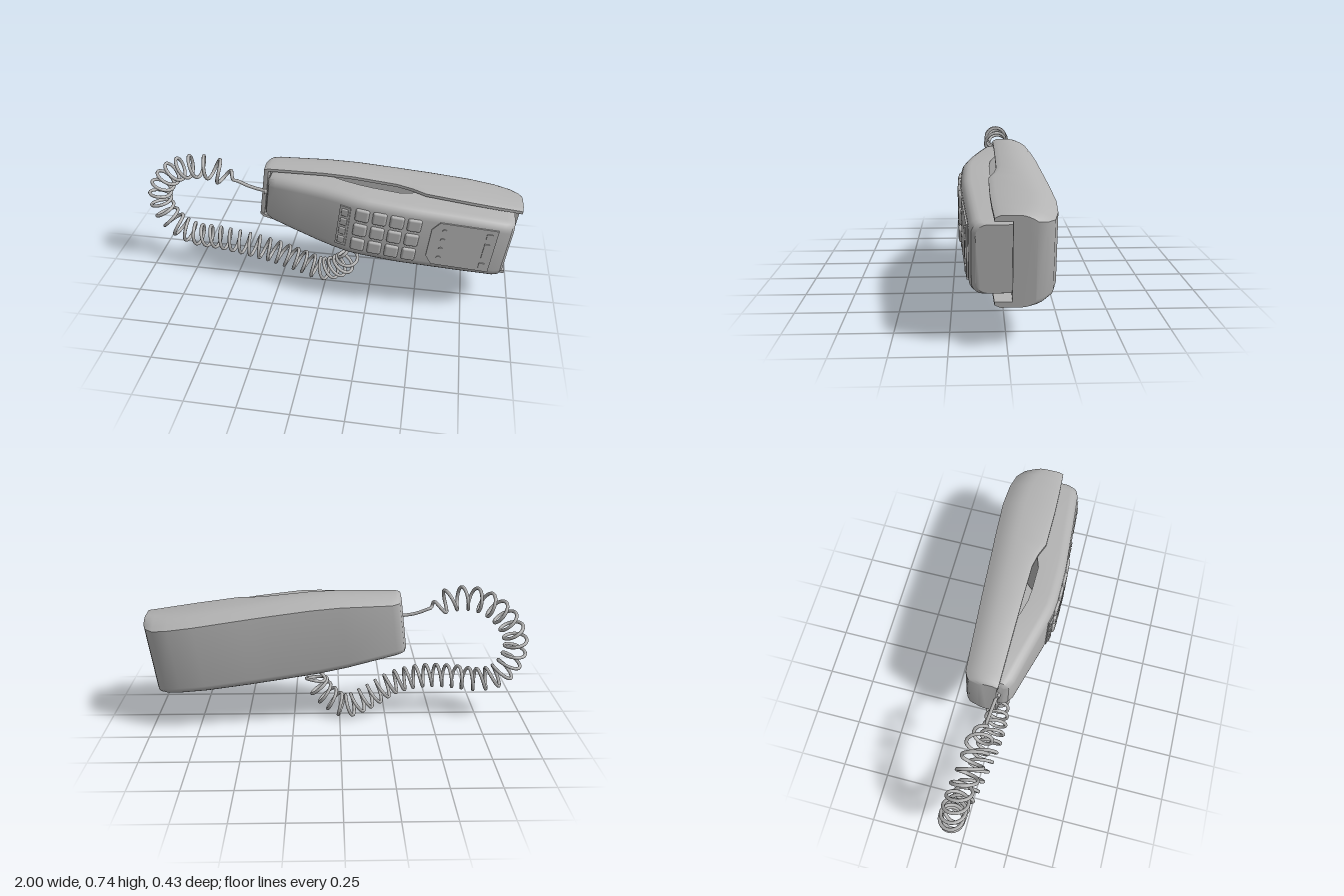
import * as THREE from 'three';
import { toCreasedNormals } from 'three/addons/utils/BufferGeometryUtils.js';
import { RoundedBoxGeometry } from 'three/addons/geometries/RoundedBoxGeometry.js';

const V = (x, y, z) => new THREE.Vector3(x, y, z);

// Skin a series of closed (y, z) rings placed along x, and cap both ends
function loft(xs, rings, crease = 0.6) {
  const n = rings[0].length, pos = [], index = [];
  rings.forEach((ring, i) => ring.forEach(([y, z]) => pos.push(xs[i], y, z)));
  for (let i = 0; i < rings.length - 1; i++) {
    for (let j = 0; j < n; j++) {
      const a = i * n + j, b = i * n + (j + 1) % n;
      index.push(a, b, a + n, b, b + n, a + n);
    }
  }
  const cap = (i, flip) => {
    const pts = rings[i].map(([y, z]) => new THREE.Vector2(y, z));
    for (const [a, b, c] of THREE.ShapeUtils.triangulateShape(pts, [])) {
      index.push(i * n + a, i * n + (flip ? c : b), i * n + (flip ? b : c));
    }
  };
  cap(0, true);
  cap(rings.length - 1, false);
  const g = new THREE.BufferGeometry();
  g.setAttribute('position', new THREE.Float32BufferAttribute(pos, 3));
  g.setIndex(index);
  return toCreasedNormals(g, crease);
}

// Quarter arc of corner points around (cy, cz), with radii ry and rz
function arc(cy, cz, ry, rz, start, steps = 5) {
  return Array.from({ length: steps + 1 }, (_, i) => {
    const a = start + (i / steps) * Math.PI / 2;
    return [cy + ry * Math.cos(a), cz + rz * Math.sin(a)];
  });
}

// Cradle stations: x, half width, back z, rim z, floor z
const cradleRows = [
  [-0.665, 0.148, -0.07, 0.026, 0.022], [-0.652, 0.156, -0.12, 0.03, 0.026],
  [-0.642, 0.159, -0.13, 0.03, 0.026], [-0.638, 0.16, -0.133, 0.03, -0.02],
  [-0.61, 0.164, -0.147, 0.03, -0.02], [-0.35, 0.197, -0.166, 0.03, -0.02],
  [-0.2, 0.208, -0.178, 0.03, -0.02], [0.02, 0.212, -0.194, 0.03, -0.02],
  [0.1, 0.212, -0.2, 0.045, -0.02], [0.17, 0.212, -0.206, 0.07, -0.02],
  [0.39, 0.21, -0.22, 0.068, -0.02], [0.52, 0.208, -0.214, 0.063, -0.02],
  [0.6, 0.207, -0.195, 0.058, -0.02], [0.64, 0.207, -0.16, 0.056, -0.02],
  [0.655, 0.206, -0.12, 0.055, -0.02],
];
// U-shaped ring: rounded lower back edge, bowed upper side ending in a crisp back edge
function cradleRing([, w, b, r, floor]) {
  const i = w - 0.027, depth = Math.min(0.12, -b * 0.65), inset = depth * 0.45;
  const bow = [1, 0.8, 0.6, 0.4, 0.2, 0].map((s) => [w - 0.36 * depth * s * s, b + depth * (1 - s)]);
  return [[w - 0.012, r], [i, r], [i, floor], [-i, floor], [-i, r], [-w + 0.012, r], [-w, r - 0.025],
    ...arc(-w + inset, b + depth * 0.9, inset, depth * 0.9, Math.PI), ...bow, [w, r - 0.025]];
}

// Handset stations: x, half width, back z, front z
const handsetRows = [
  [-0.635, 0.1, 0.01, 0.05], [-0.625, 0.118, 0, 0.075], [-0.59, 0.131, 0, 0.095],
  [-0.45, 0.15, 0, 0.128], [-0.33, 0.163, 0.005, 0.158], [-0.25, 0.168, 0.035, 0.178],
  [-0.17, 0.172, 0.055, 0.195], [-0.1, 0.172, 0.06, 0.2], [0.04, 0.172, 0.06, 0.2],
  [0.1, 0.172, 0.04, 0.199], [0.16, 0.171, -0.024, 0.195], [0.4, 0.169, -0.024, 0.176],
  [0.58, 0.165, -0.024, 0.161], [0.612, 0.161, -0.024, 0.15], [0.625, 0.154, -0.024, 0.132],
];
function handsetRing([, h, k, f]) {
  const r = Math.min(0.05, (f - k) * 0.6);
  return [[h, k], ...arc(h - r, f - r, r, r, 0), ...arc(-h + r, f - r, r, r, Math.PI / 2), [-h, k]];
}

// Front surface height and slope of the handset at a station
function surface(x) {
  const i = handsetRows.findIndex((row) => row[0] > x);
  const [a, b] = [handsetRows[i - 1], handsetRows[i]];
  const slope = (b[3] - a[3]) / (b[0] - a[0]);
  return { z: a[3] + slope * (x - a[0]), angle: -Math.atan(slope) };
}

// Coil wound around a guide path, looser at its start, with straight leads at both ends
class CoilCurve extends THREE.Curve {
  constructor(path, turns, radius) {
    super();
    Object.assign(this, { path, turns, radius });
  }
  getPoint(t, target = new THREE.Vector3()) {
    const T = this.path.getTangentAt(t);
    const side = V(-T.y, T.x, 0).normalize();
    const r = this.radius * THREE.MathUtils.smoothstep(t, 0.085, 0.13)
      * (1 - THREE.MathUtils.smoothstep(t, 0.94, 0.985));
    const a = Math.pow(t, 1.2) * this.turns * Math.PI * 2;
    target.copy(this.path.getPointAt(t)).addScaledVector(side, r * Math.cos(a));
    target.z += r * Math.sin(a);
    return target;
  }
}

export function createModel() {
  const model = new THREE.Group();
  const plastic = new THREE.MeshStandardMaterial({ color: 0xb3b3b3 });
  plastic.name = 'grey plastic';

  const phone = new THREE.Group();
  phone.name = 'phone';
  phone.position.set(0.328, 0.482, 0);
  phone.rotation.z = -THREE.MathUtils.degToRad(7);
  model.add(phone);

  const add = (parent, name, geometry) => {
    const m = new THREE.Mesh(geometry, plastic);
    m.name = name;
    parent.add(m);
    return m;
  };
  // Seat a detail on the sloping front of the handset
  const seat = (name, geometry, x, y, lift = 0) => {
    const { z, angle } = surface(x);
    const m = add(phone, name, geometry);
    m.position.set(x, y, z + lift);
    m.rotation.y = angle;
  };

  add(phone, 'cradle', loft(cradleRows.map((r) => r[0]), cradleRows.map(cradleRing)));
  add(phone, 'handset', loft(handsetRows.map((r) => r[0]), handsetRows.map(handsetRing)));

  // Keypad, four columns by three rows
  const keyGeo = new RoundedBoxGeometry(0.07, 0.07, 0.034, 2, 0.012);
  for (let c = 0; c < 4; c++) {
    for (let r = 0; r < 3; r++) seat('key', keyGeo, 0.008 + (c - 1.5) * 0.087, (1 - r) * 0.087, -0.003);
  }

  // Strip of four small function buttons
  seat('buttonStrip', new THREE.BoxGeometry(0.056, 0.228, 0.012), -0.21, 0);
  const smallGeo = new RoundedBoxGeometry(0.036, 0.04, 0.02, 2, 0.005);
  for (let i = 0; i < 4; i++) seat('smallButton', smallGeo, -0.21, (i - 1.5) * 0.054, 0.003);

  // Mouthpiece panel with clipped left corners
  const outline = [[-0.13, -0.125], [0.16, -0.125], [0.16, 0.125], [-0.13, 0.125],
    [-0.165, 0.08], [-0.165, -0.08]].map(([x, y]) => new THREE.Vector2(x, y));
  const panelGeo = new THREE.ExtrudeGeometry(new THREE.Shape(outline), {
    depth: 0.009, bevelEnabled: false });
  seat('mouthpiecePanel', panelGeo, 0.39, 0, -0.003);
  const dotGeo = new THREE.CylinderGeometry(0.012, 0.012, 0.014, 12).rotateX(Math.PI / 2);
  for (let i = 0; i < 4; i++) seat('panelDot', dotGeo, 0.29, (i - 1.5) * 0.054, 0.004);
  for (const s of [-1, 1]) {
    seat('panelSwitch', new THREE.BoxGeometry(0.028, 0.028, 0.016), 0.51, s * 0.088, 0.004);
  }
  seat('panelSlider', new THREE.BoxGeometry(0.026, 0.085, 0.016), 0.51, 0, 0.004);

  // Coiled cord from the end of the handset round to the underside of the cradle
  const path = new THREE.CatmullRomCurve3([
    V(-0.28, 0.565, 0.025), V(-0.4, 0.585, 0.015), V(-0.51, 0.63, 0.01), V(-0.6, 0.668, 0.005),
    V(-0.71, 0.668, 0), V(-0.82, 0.62, -0.02), V(-0.9, 0.53, -0.035), V(-0.932, 0.44, -0.045),
    V(-0.915, 0.34, -0.05), V(-0.85, 0.255, -0.05), V(-0.75, 0.22, -0.03), V(-0.6, 0.228, 0),
    V(-0.45, 0.22, 0.02), V(-0.3, 0.185, 0.015), V(-0.15, 0.11, -0.02), V(-0.03, 0.064, -0.025),
    V(0.07, 0.115, 0.01), V(0.125, 0.19, 0.035), V(0.1, 0.255, 0.02), V(0.085, 0.31, 0),
  ]);
  path.arcLengthDivisions = 600;
  add(model, 'coiledCord', new THREE.TubeGeometry(new CoilCurve(path, 37, 0.058), 900, 0.009, 8));

  // Cord plugs
  const plug = (name, x, y, z, turn) => {
    const m = add(model, name, new THREE.CylinderGeometry(0.014, 0.014, 0.05, 12));
    m.position.set(x, y, z);
    m.rotation.z = turn;
  };
  plug('handsetPlug', -0.295, 0.566, 0.025, Math.PI / 2 - 0.12);
  plug('cradlePlug', 0.086, 0.295, 0, 0.1);

  return model;
}
